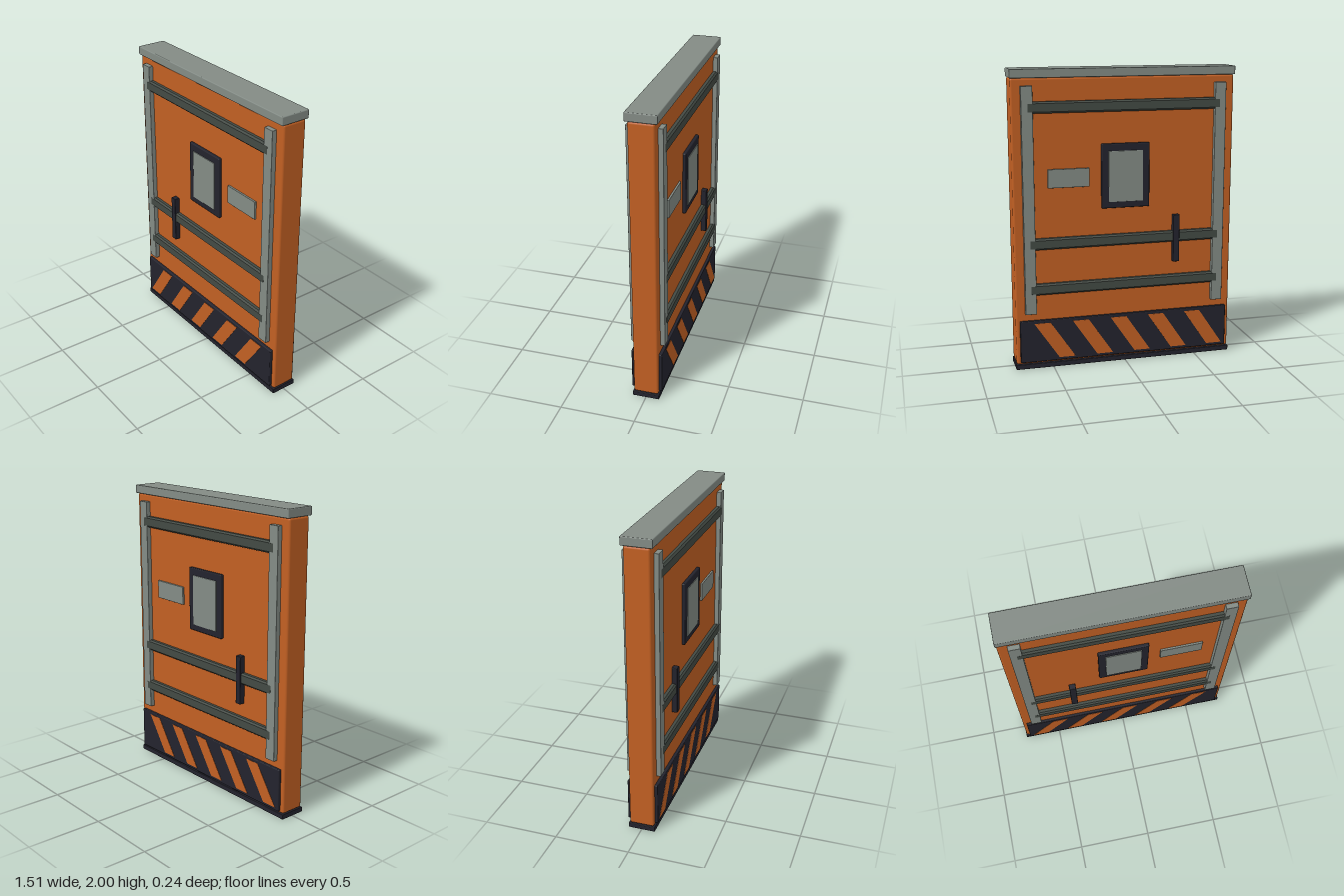
import * as THREE from 'three';
import { RoundedBoxGeometry } from 'three/addons/geometries/RoundedBoxGeometry.js';

const mat = (name, color) => {
  const m = new THREE.MeshStandardMaterial({ color });
  m.name = name;
  return m;
};

export function createModel() {
  const orange = mat('orange paint', 0xc26023);
  const grey = mat('grey metal', 0x838b85);
  const olive = mat('dark bar metal', 0x434a44);
  const dark = mat('near black', 0x23232d);

  const model = new THREE.Group();
  model.name = 'industrialDoor';

  // Bevelled box given by its limits on each axis
  const box = (parent, name, material, [x0, x1], [y0, y1], [z0, z1], bevel = 0.003) => {
    const geo = new RoundedBoxGeometry(x1 - x0, y1 - y0, z1 - z0, 2, bevel);
    geo.translate((x0 + x1) / 2, (y0 + y1) / 2, (z0 + z1) / 2);
    const mesh = new THREE.Mesh(geo, material);
    mesh.name = name;
    parent.add(mesh);
    return mesh;
  };

  // Slab with top cap and bottom sill
  box(model, 'doorPanel', orange, [-0.75, 0.75], [0.035, 1.943], [-0.083, 0.083], 0.014);
  box(model, 'topCap', grey, [-0.754, 0.754], [1.943, 2], [-0.1, 0.1], 0.006);
  box(model, 'bottomSill', dark, [-0.754, 0.754], [0, 0.034], [-0.09, 0.09], 0.004);

  // Crossbar: chamfered profile in z and y, extruded along x
  const crossbar = (parent, y) => {
    const h = 0.0375, c = 0.011, front = 0.1143, back = 0.075;
    const profile = new THREE.Shape([
      [back, -h], [front - c, -h], [front, -h + c],
      [front, h - c], [front - c, h], [back, h],
    ].map(([z, v]) => new THREE.Vector2(-z, v)).reverse());
    const geo = new THREE.ExtrudeGeometry(profile, { depth: 1.29, bevelEnabled: false });
    geo.translate(0, 0, -0.645).rotateY(Math.PI / 2);
    const mesh = new THREE.Mesh(geo, olive);
    mesh.name = 'crossbar';
    mesh.position.y = y;
    parent.add(mesh);
  };

  // Fittings of one face; flip mirrors them to the back, keeping x
  const buildFace = (name, flip) => {
    const face = new THREE.Group();
    face.name = name;

    for (const [x0, x1] of [[-0.687, -0.612], [0.612, 0.687]])
      box(face, 'sideRail', grey, [x0, x1], [0.39, 1.895], [0.07, 0.114], 0.002);
    for (const y of [1.757, 0.863, 0.555]) crossbar(face, y);

    // Window, label plate and handle
    box(face, 'windowFrame', dark, [-0.163, 0.163], [1.08, 1.51], [0.07, 0.104], 0.007);
    box(face, 'windowPane', grey, [-0.117, 0.117], [1.122, 1.462], [0.09, 0.109], 0.002);
    box(face, 'labelPlate', grey, [0.243, 0.52], [1.232, 1.355], [0.075, 0.096], 0.002);
    box(face, 'handle', dark, [-0.372, -0.328], [0.687, 1.012], [0.08, 0.12], 0.004);

    // Kick plate with slanted warning stripes
    box(face, 'kickPlate', dark, [-0.724, 0.724], [0.05, 0.34], [0.07, 0.103], 0.006);
    const stripe = new THREE.Shape([[0, 0.07], [0.11, 0.07], [0.278, 0.32], [0.168, 0.32]]
      .map(([x, y]) => new THREE.Vector2(x, y)));
    const stripeGeo = new THREE.ExtrudeGeometry(stripe, { depth: 0.003, bevelEnabled: false });
    for (let i = 0; i < 5; i++) {
      const mesh = new THREE.Mesh(stripeGeo, orange);
      mesh.name = 'warningStripe';
      mesh.position.set(-0.696 + i * 0.262, 0, 0.102);
      face.add(mesh);
    }
    face.scale.z = flip;
    model.add(face);
  };
  buildFace('frontFittings', 1);
  buildFace('backFittings', -1);

  return model;
}
